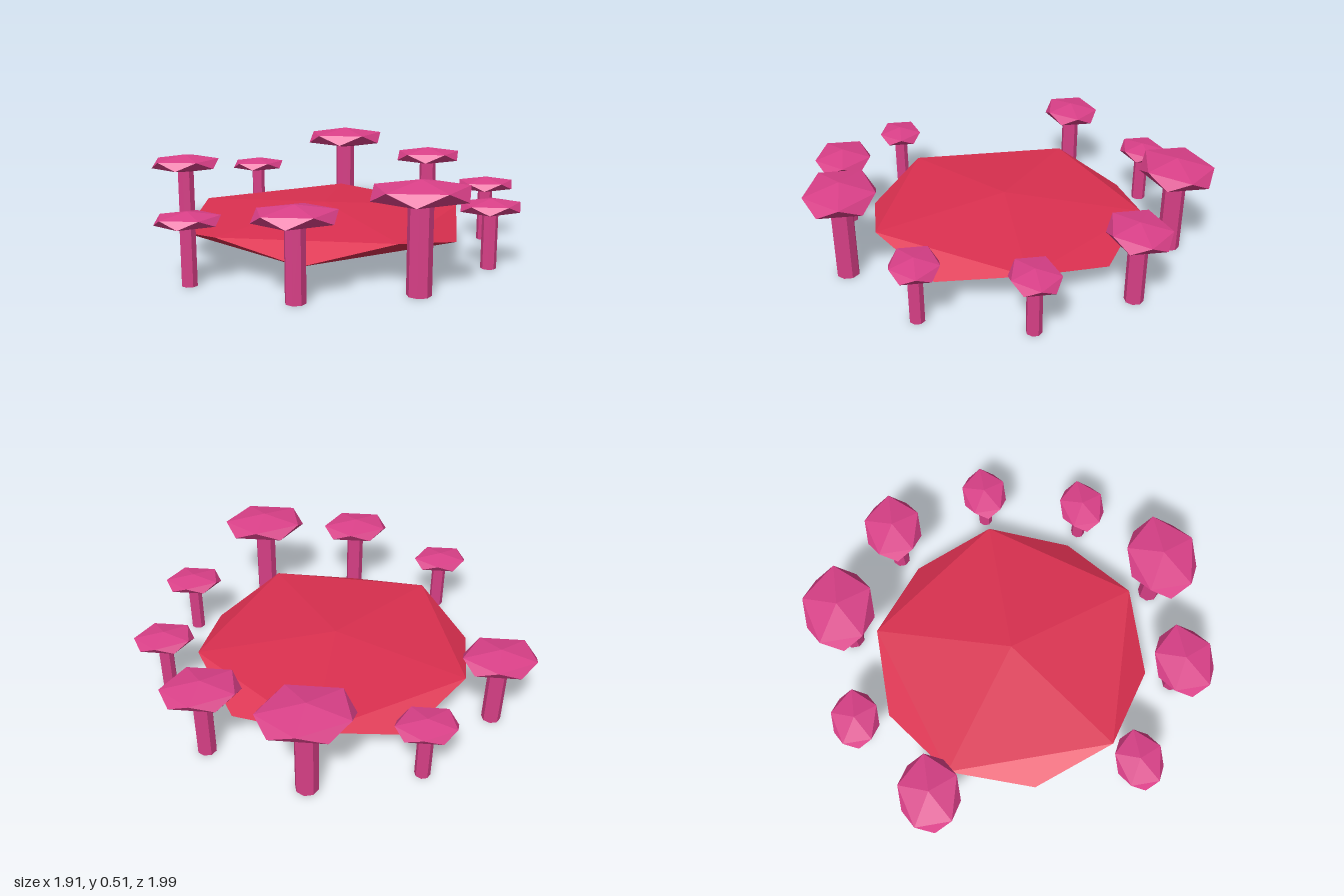
import * as THREE from 'three';

const CENTER_X = -0.065;
const RING_RADIUS = 0.87;

// Faceted 20-sided blob with its poles on y, squashed to the given radii
function facetedBlob(rx, ry, rz) {
  const geo = new THREE.IcosahedronGeometry(1, 0);
  geo.rotateZ(-Math.atan(2 / (1 + Math.sqrt(5))));
  geo.scale(rx, ry, rz);
  geo.computeVertexNormals();
  return geo;
}

// Eight-sided straight post standing on y = 0, with flat faces
function facetedPost(radius, height) {
  const geo = new THREE.CylinderGeometry(radius, radius, height, 8).toNonIndexed();
  geo.rotateY(Math.PI / 8);
  geo.translate(0, height / 2, 0);
  geo.computeVertexNormals();
  return geo;
}

export function createModel() {
  const red = new THREE.MeshStandardMaterial({ color: 0xdc3050 });
  red.name = 'crimson';
  const pink = new THREE.MeshStandardMaterial({ color: 0xda4088 });
  pink.name = 'pink';

  const model = new THREE.Group();
  model.name = 'mushroomRing';

  // Wide flat centre slab
  const slab = new THREE.Mesh(facetedBlob(0.8, 0.09, 0.8), red);
  slab.name = 'centreSlab';
  slab.position.set(-0.07, 0.15, 0);
  model.add(slab);

  // Mushrooms at 36 degree steps from +x towards +z; the gap is at -x
  const sizes = [0.8, 0.8, 1.2, 1, 0.8, 0, 1, 0.8, 1.2, 1];
  const capGeo = facetedBlob(0.207, 0.05, 0.166);
  const stemGeo = facetedPost(0.047, 0.375);
  sizes.forEach((size, i) => {
    if (!size) return;
    const angle = (i * Math.PI) / 5;
    const mushroom = new THREE.Group();
    mushroom.name = 'mushroom' + i;
    const stem = new THREE.Mesh(stemGeo, pink);
    stem.name = 'stem';
    const cap = new THREE.Mesh(capGeo, pink);
    cap.name = 'cap';
    cap.position.y = 0.375;
    mushroom.add(stem, cap);
    mushroom.scale.setScalar(size);
    mushroom.position.set(CENTER_X + RING_RADIUS * Math.cos(angle), 0, RING_RADIUS * Math.sin(angle));
    model.add(mushroom);
  });

  return model;
}
